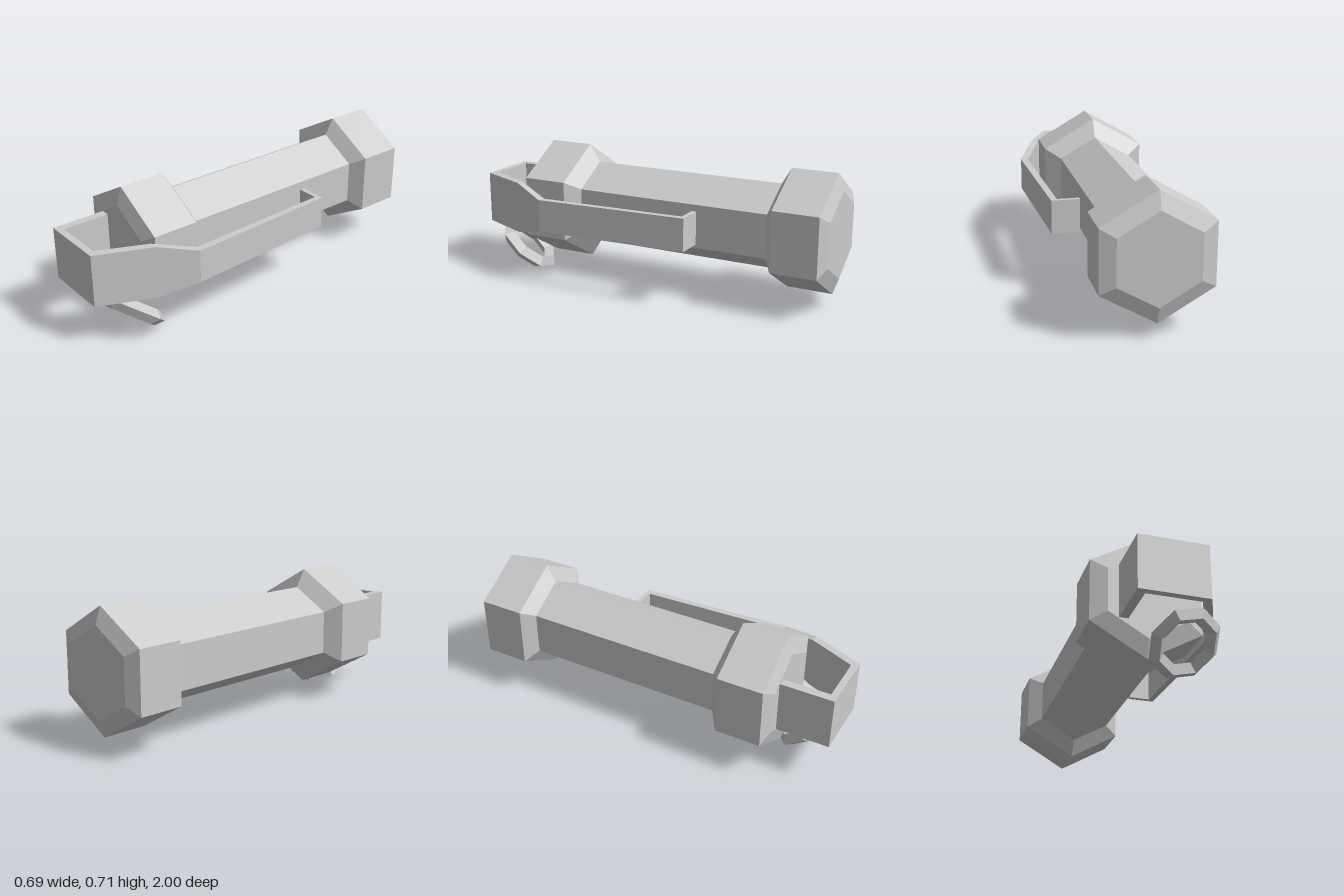
import * as THREE from 'three';

const material = new THREE.MeshStandardMaterial({ color: 0xcccccc, flatShading: true });

function part(name, geometry) {
  const flat = geometry.index ? geometry.toNonIndexed() : geometry;
  flat.computeVertexNormals();
  const mesh = new THREE.Mesh(flat, material);
  mesh.name = name;
  return mesh;
}

// Six-sided body along z, with a corner pointing up; profile is [radius, z]
function hexBody(name, profile) {
  const points = profile.map(([r, z]) => new THREE.Vector2(r, z));
  const mesh = part(name, new THREE.LatheGeometry(points, 6).rotateX(Math.PI / 2));
  mesh.position.set(-0.067, 0.385, 0);
  return mesh;
}

// Bent strip: each section is [outer x, outer z, inner x, inner z, half height]
function bentStrip(sections) {
  const positions = [];
  const index = [];
  for (const [ox, oz, ix, iz, h] of sections) {
    positions.push(ox, -h, oz, ox, h, oz, ix, h, iz, ix, -h, iz);
  }
  const quad = (a, b, c, d) => index.push(a, b, c, a, c, d);
  for (let s = 0; s < sections.length - 1; s++) {
    for (let k = 0; k < 4; k++) {
      const a = s * 4 + k;
      const b = s * 4 + ((k + 1) % 4);
      quad(a, a + 4, b + 4, b);
    }
  }
  const e = (sections.length - 1) * 4;
  quad(0, 1, 2, 3);
  quad(e + 3, e + 2, e + 1, e);
  const geometry = new THREE.BufferGeometry();
  geometry.setAttribute('position', new THREE.Float32BufferAttribute(positions, 3));
  geometry.setIndex(index);
  return geometry;
}

export function createModel() {
  const model = new THREE.Group();
  model.name = 'hexagonalCanister';

  // Handle tube with a chamfered cap at the back and head at the front
  model.add(hexBody('body', [
    [0, -1], [0.228, -1], [0.314, -0.97], [0.314, -0.73], [0.228, -0.68],
    [0.228, 0.39], [0.322, 0.45], [0.322, 0.693], [0.228, 0.72], [0, 0.72],
  ]));

  // Lever wrapping the front and running back along the left side
  const lever = part('lever', bentStrip([
    [-0.21, 0.715, -0.165, 0.715, 0.14],
    [-0.21, 1, -0.165, 0.965, 0.14],
    [0.137, 1, 0.105, 0.965, 0.14],
    [0.257, 0.72, 0.215, 0.72, 0.14],
    [0.342, 0.525, 0.303, 0.515, 0.087],
    [0.302, -0.31, 0.27, -0.285, 0.087],
    [0.157, -0.31, 0.157, -0.285, 0.087],
  ]));
  lever.position.y = 0.385;
  model.add(lever);

  // Tilted eight-sided pull ring with a diamond section
  const ring = part('pullRing', new THREE.TorusGeometry(0.149, 0.039, 4, 8).rotateZ(0.506));
  const across = new THREE.Vector3(0.98, 0.17, -0.1).normalize();
  const normal = across.clone().cross(new THREE.Vector3(-0.03, 0.64, 0.77)).normalize();
  const along = normal.clone().cross(across);
  ring.quaternion.setFromRotationMatrix(new THREE.Matrix4().makeBasis(across, along, normal));
  ring.position.set(0.086, 0.125, 0.775);
  model.add(ring);

  return model;
}
